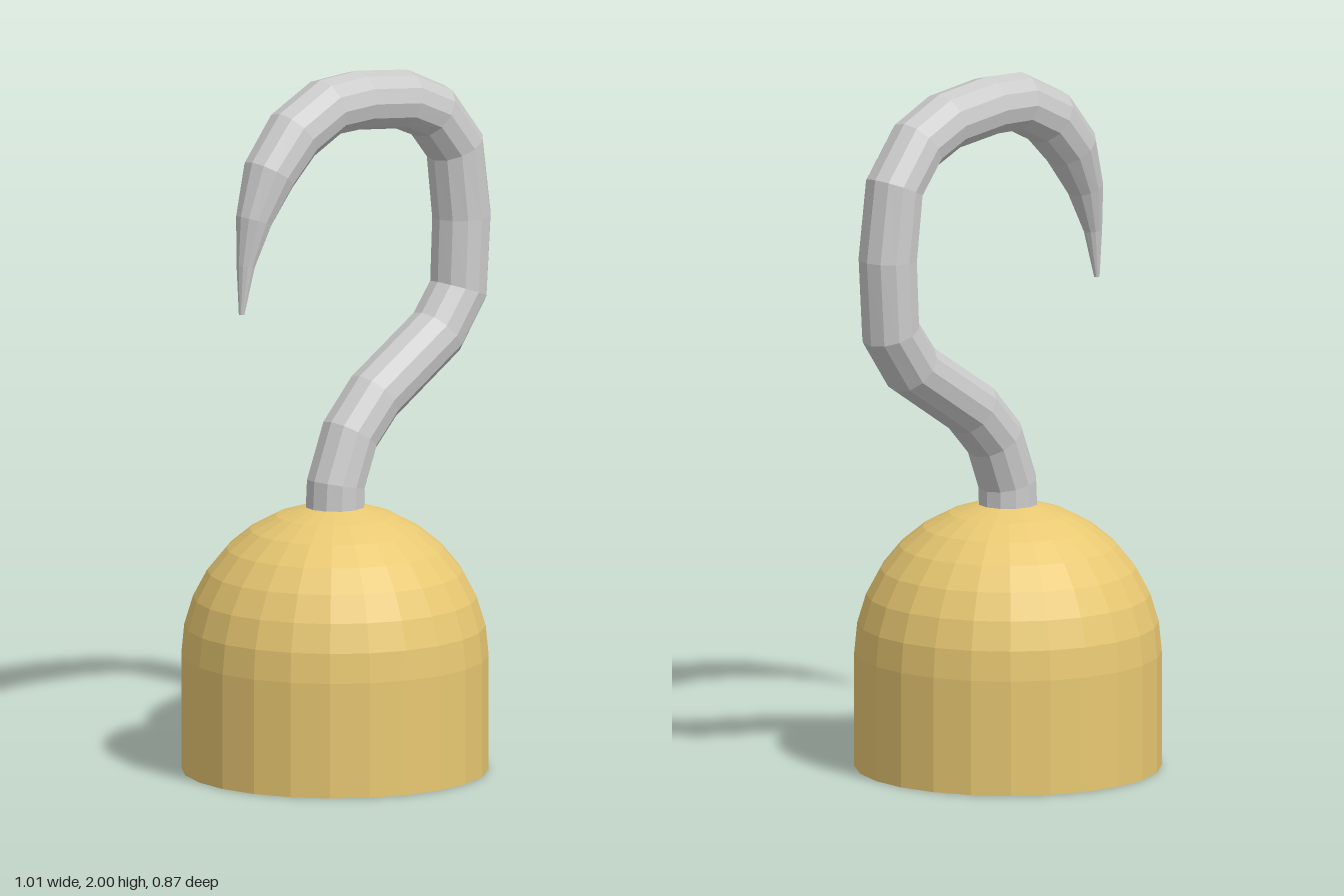
import * as THREE from 'three';

const AXIS_X = -0.07; // vertical axis of the cup

// Open-bottomed cup: straight wall with a rounded dome above
function cupGeometry() {
  const radius = 0.435, wallTop = 0.33, bands = 8;
  const profile = [new THREE.Vector2(radius, 0)];
  for (let i = 0; i <= bands; i++) {
    const a = (i / bands) * Math.PI / 2;
    profile.push(new THREE.Vector2(Math.cos(a) * radius, wallTop + Math.sin(a) * radius));
  }
  return new THREE.LatheGeometry(profile, 24);
}

// Sweep of round sections [x, y, radius] along a path in the z = 0 plane
function sweepGeometry(sections, sides) {
  const positions = [], index = [];
  const last = sections.length - 1;
  const dir = (a, b) => new THREE.Vector2(b[0] - a[0], b[1] - a[1]).normalize();
  sections.forEach(([x, y, r], i) => {
    const t = new THREE.Vector2();
    if (i > 0) t.add(dir(sections[i - 1], sections[i]));
    if (i < last) t.add(dir(sections[i], sections[i + 1]));
    t.normalize();
    for (let j = 0; j < sides; j++) {
      const a = (j / sides) * Math.PI * 2;
      const c = Math.cos(a) * r;
      positions.push(x - t.y * c, y + t.x * c, Math.sin(a) * r);
    }
  });
  for (let i = 0; i < last; i++) {
    for (let j = 0; j < sides; j++) {
      const k = (j + 1) % sides;
      const a = i * sides + j, b = i * sides + k;
      index.push(a, b, a + sides, b, b + sides, a + sides);
    }
  }
  // Close the small tip
  for (let j = 1; j < sides - 1; j++) {
    index.push(last * sides, last * sides + j, last * sides + j + 1);
  }
  const geometry = new THREE.BufferGeometry();
  geometry.setAttribute('position', new THREE.Float32BufferAttribute(positions, 3));
  geometry.setIndex(index);
  geometry.computeVertexNormals();
  return geometry;
}

export function createModel() {
  const group = new THREE.Group();
  group.name = 'hook';

  const gold = new THREE.MeshStandardMaterial({
    color: 0xe8c872, flatShading: true, side: THREE.DoubleSide,
  });
  const steel = new THREE.MeshStandardMaterial({ color: 0xcccccc, flatShading: true });

  const cup = new THREE.Mesh(cupGeometry(), gold);
  cup.name = 'cup';
  cup.position.x = AXIS_X;
  group.add(cup);

  // Shank, bend and tapering point
  const R = 0.085;
  const sections = [
    [AXIS_X, 0.75, R], [-0.067, 0.82, R], [-0.013, 0.955, R], [0.08, 1.053, R],
    [0.324, 1.207, R], [0.408, 1.32, R], [0.42, 1.53, R], [0.393, 1.735, R],
    [0.302, 1.846, R], [0.188, 1.896, R], [0.016, 1.916, R], [-0.106, 1.911, R],
    [-0.233, 1.849, R], [-0.326, 1.748, 0.078], [-0.385, 1.623, 0.053],
    [-0.416, 1.496, 0.027], [-0.432, 1.358, 0.008],
  ];
  const hook = new THREE.Mesh(sweepGeometry(sections, 12), steel);
  hook.name = 'curvedHook';
  group.add(hook);

  return group;
}
